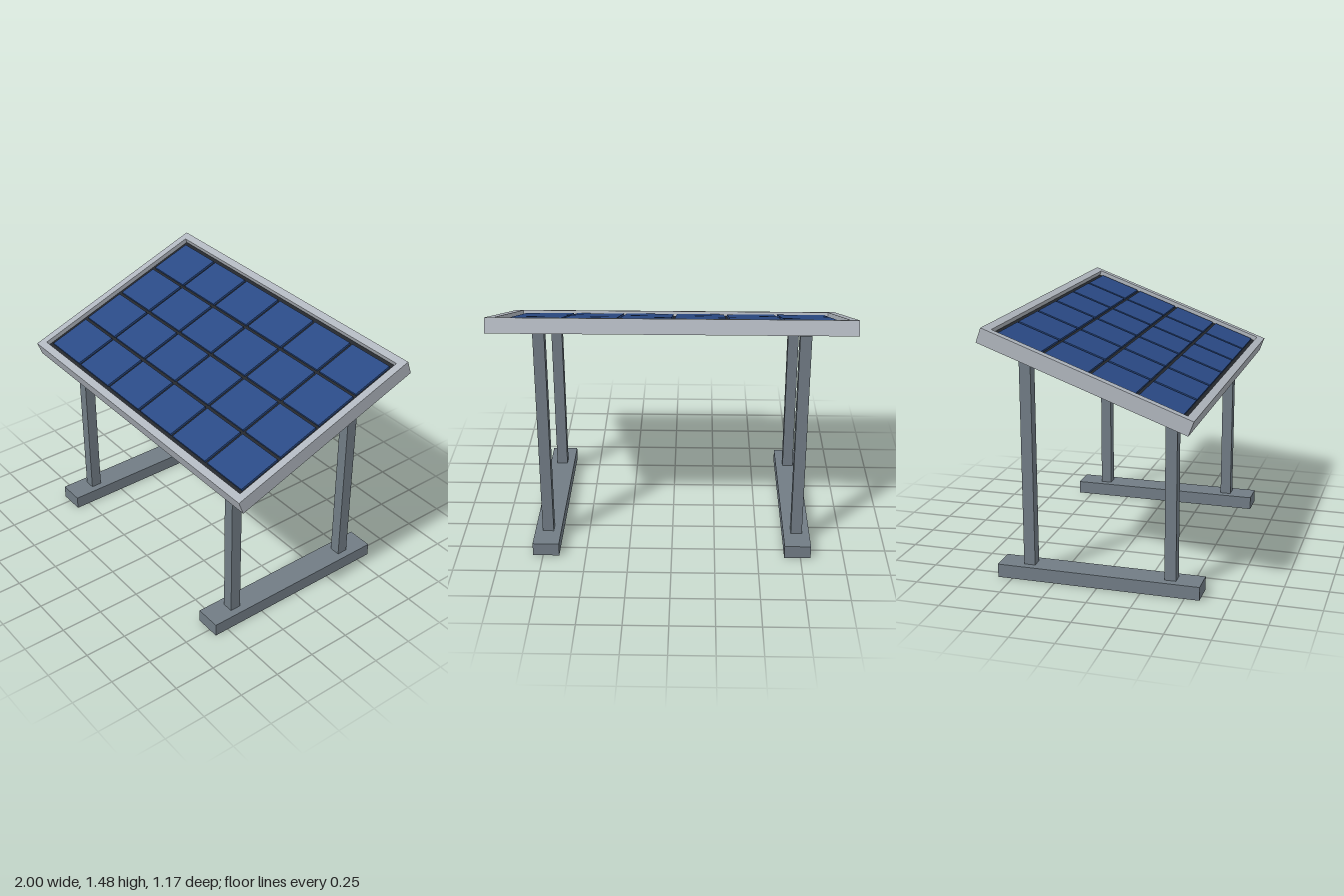
import * as THREE from 'three';

const paint = (color) => new THREE.MeshStandardMaterial({ color, flatShading: true });

export function createModel() {
  const model = new THREE.Group();
  model.name = 'solarPanel';
  const steel = paint(0x717c85);
  const aluminium = paint(0xb0b6be);
  const backing = paint(0x24272c);
  const cellBlue = paint(0x2a4a85);

  const box = (name, parent, material, size, pos) => {
    const mesh = new THREE.Mesh(new THREE.BoxGeometry(...size), material);
    mesh.name = name;
    mesh.position.set(...pos);
    parent.add(mesh);
    return mesh;
  };

  // Two ground rails, each with a short front post and a tall back post
  for (const side of [-1, 1]) {
    const stand = new THREE.Group();
    stand.name = side > 0 ? 'leftStand' : 'rightStand';
    stand.position.x = side * 0.732;
    model.add(stand);
    box('foot', stand, steel, [0.153, 0.078, 1.17], [0, 0.039, 0]);
    for (const [name, z, top] of [['frontPost', 0.41, 1.04], ['backPost', -0.41, 1.34]]) {
      box(name, stand, steel, [0.065, top - 0.078, 0.065], [0, (top + 0.078) / 2, z]);
    }
  }

  // Tilted panel assembly
  const panel = new THREE.Group();
  panel.name = 'panel';
  panel.position.y = 1.235;
  panel.rotation.x = THREE.MathUtils.degToRad(20);
  model.add(panel);

  // Rectangular frame with an opening
  const W = 2, L = 1.217, T = 0.085, rail = 0.045;
  const rect = (target, w, l) => {
    target.moveTo(-w / 2, -l / 2);
    target.lineTo(w / 2, -l / 2);
    target.lineTo(w / 2, l / 2);
    target.lineTo(-w / 2, l / 2);
    target.closePath();
    return target;
  };
  const outline = rect(new THREE.Shape(), W, L);
  outline.holes.push(rect(new THREE.Path(), W - 2 * rail, L - 2 * rail));
  const frameGeometry = new THREE.ExtrudeGeometry(outline, { depth: T, bevelEnabled: false });
  frameGeometry.translate(0, 0, -T / 2);
  frameGeometry.rotateX(-Math.PI / 2);
  const frame = new THREE.Mesh(frameGeometry, aluminium);
  frame.name = 'frame';
  panel.add(frame);

  // Dark backing sheet, recessed from both faces of the frame
  box('backingSheet', panel, backing, [W - 2 * rail, 0.04, L - 2 * rail], [0, -0.006, 0]);

  // Six by four grid of cells
  const cells = new THREE.Group();
  cells.name = 'cells';
  panel.add(cells);
  for (let col = 0; col < 6; col++) {
    for (let row = 0; row < 4; row++) {
      box('cell', cells, cellBlue, [0.292, 0.014, 0.253],
        [(col - 2.5) * 0.312, 0.02, (row - 1.5) * 0.273]);
    }
  }
  return model;
}
